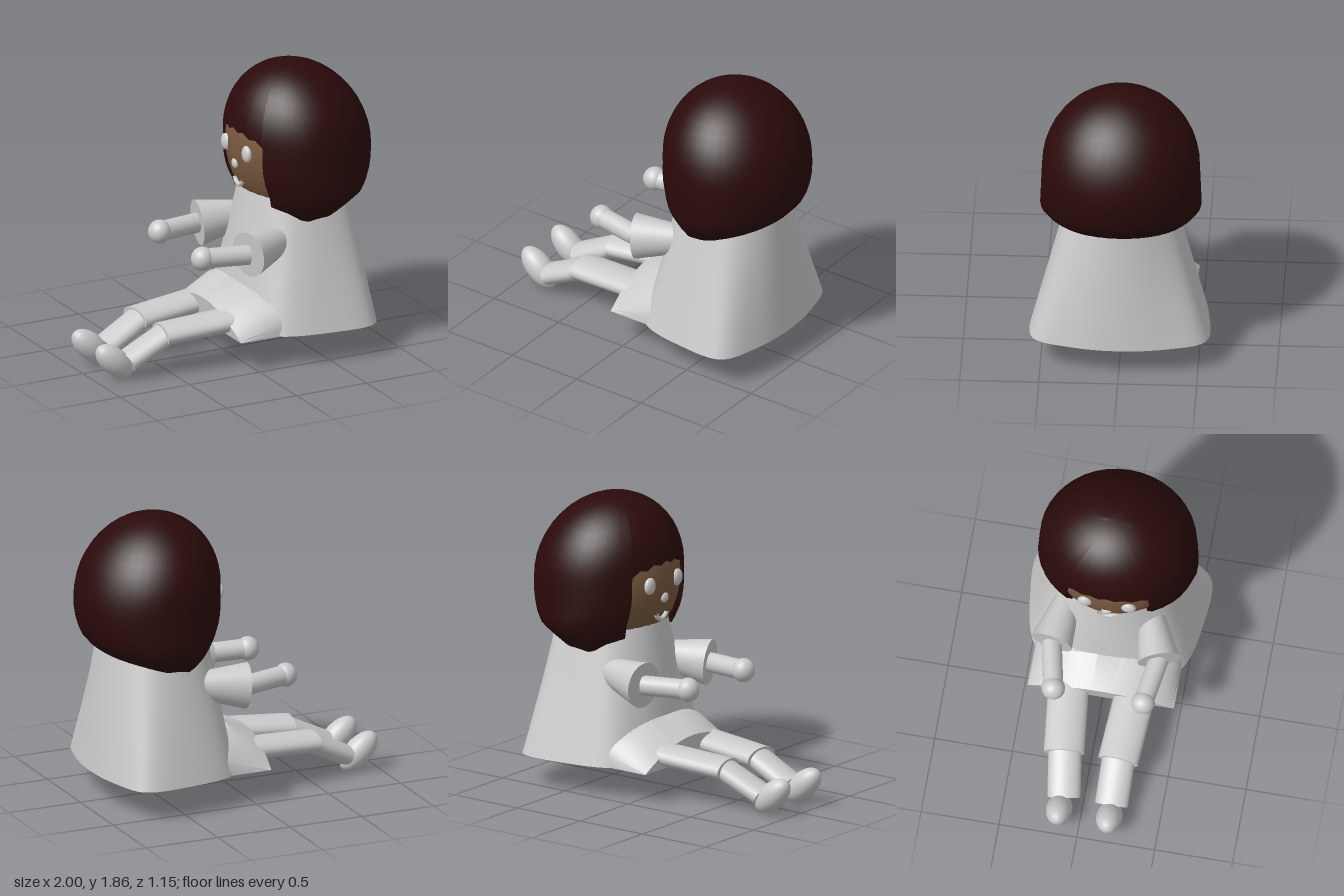
import * as THREE from 'three';
import { toCreasedNormals } from 'three/addons/utils/BufferGeometryUtils.js';

const V = (x, y, z) => new THREE.Vector3(x, y, z);
const material = (color) => new THREE.MeshStandardMaterial({ color, side: THREE.DoubleSide });
const grey = material(0xcccccc);
const skin = material(0x7a5a40);
const hairColor = material(0x2b0a0a);

// Skin a surface over closed rings of points, optionally closing both ends
function loft(rings, caps, crease) {
  const n = rings[0].length, pos = [], idx = [];
  rings.flat().forEach((p) => pos.push(p.x, p.y, p.z));
  for (let i = 0; i < rings.length - 1; i++) {
    for (let j = 0; j < n; j++) {
      const a = i * n + j, b = i * n + (j + 1) % n;
      idx.push(a, b, b + n, a, b + n, a + n);
    }
  }
  if (caps) {
    [0, rings.length - 1].forEach((r) => {
      const c = V(0, 0, 0);
      rings[r].forEach((p) => c.addScaledVector(p, 1 / n));
      const k = pos.length / 3;
      pos.push(c.x, c.y, c.z);
      for (let j = 0; j < n; j++) {
        const a = r * n + j, b = r * n + (j + 1) % n;
        if (r === 0) idx.push(k, b, a);
        else idx.push(k, a, b);
      }
    });
  }
  const g = new THREE.BufferGeometry();
  g.setAttribute('position', new THREE.Float32BufferAttribute(pos, 3));
  g.setIndex(idx);
  return toCreasedNormals(g, crease);
}

// Dress: rounded four-sided hem that blends into an oval neck
function dressGeometry() {
  const half = [[0.9, 0.3], [0.8, 0.545], [0.5, 0.56], [0.15, 0.465], [0.05, 0.25]];
  const hem = new THREE.CatmullRomCurve3([
    V(0.935, 0, 0), ...half.map(([x, z]) => V(x, 0, -z)),
    V(0.03, 0, 0), ...half.slice().reverse().map(([x, z]) => V(x, 0, z)),
  ], true).getPoints(72).slice(0, 72);
  const rings = [0, 0.33, 0.67, 1].map((t) => hem.map((p, i) => {
    const a = (i / 72) * Math.PI * 2;
    const neck = V(0.505 + 0.352 * Math.cos(a), 0, -0.342 * Math.sin(a));
    return p.clone().lerp(neck, t).setY(0.2 + 0.85 * t);
  }));
  return loft(rings, true, 0.7);
}

// Lap: flat underside with an arched top, fuller towards the waist
function lapGeometry() {
  const ring = ([xBottom, xTop, h, p, q]) => {
    const pts = [];
    for (let i = 0; i <= 28; i++) {
      const t = Math.cos((i / 28) * Math.PI);
      const k = Math.max(0, 1 - Math.abs(t) ** p) ** (1 / q);
      pts.push(V(xBottom + (xTop - xBottom) * k, 0.2 + h * k, 0.47 * t));
    }
    for (let i = 1; i < 10; i++) pts.push(V(xBottom, 0.2, -0.47 + 0.094 * i));
    return pts;
  };
  return loft([
    [0.28, 0.24, 0.24, 4, 3], [0.08, 0.07, 0.265, 3, 1.6], [-0.115, -0.14, 0.165, 2, 1],
  ].map(ring), true, 0.6);
}

// Hair: bob with a fringe, left open over the face, with an inward rolled hem
function hairGeometry() {
  const face = 0.56, rows = 18, cols = [];
  for (let i = 0; i <= 10; i++) {
    const t = i / 5 - 1;
    cols.push([t * face, 1.46 - 0.05 * t * t + (i % 2 ? 0.012 : -0.008)]);
  }
  for (let i = 0; i <= 34; i++) {
    const u = face + (i / 34) * 2 * (Math.PI - face);
    const w = Math.min(u, 2 * Math.PI - u);
    cols.push([u, 0.9 + 0.15 * Math.max(0, 1.2 - w) + 0.035 * Math.max(0, w - 1.2) + 0.008 * Math.sin(w * 9)]);
  }
  const point = (u, y, k) => {
    const s = (y - 1.35) / 0.505;
    const round = Math.sqrt(Math.max(0, 1 - s * s));
    let rz = 0.5 * round;
    if (y < 1.35) rz = y > 1.06 ? 0.5 + 0.012 * (1.35 - y) / 0.29 : 0.39 + 0.122 * (y - 0.9) / 0.16;
    const cx = 0.535 - 0.05 * Math.max(0, s) - 0.06 * Math.max(0, -s - 0.6) / 0.3;
    const rx = 0.457 + 0.05 * Math.max(0, -s);
    return V(cx - rx * round * k * Math.cos(u), y, rz * k * Math.sin(u));
  };
  const rings = [cols.map(([u, low]) => point(u, low + 0.02, 0.86))];
  for (let r = rows; r >= 0; r--) {
    rings.push(cols.map(([u, low]) => {
      const end = Math.acos((low - 1.35) / 0.505);
      return point(u, 1.35 + 0.505 * Math.cos((end * r) / rows), 1);
    }));
  }
  return loft(rings, false, 0.9);
}

export function createModel() {
  const model = new THREE.Group();
  const add = (name, geometry, mat = grey, parent = model) => {
    const mesh = new THREE.Mesh(geometry, mat);
    mesh.name = name;
    parent.add(mesh);
    return mesh;
  };
  const ball = (name, p, r, mat, parent) => {
    const m = add(name, new THREE.SphereGeometry(1, 32, 20), mat, parent);
    m.position.copy(p);
    m.scale.copy(r);
    return m;
  };
  // Tapered limb from a to b, widened sideways by a factor
  const limb = (name, a, b, ra, rb, widen, parent) => {
    const dir = b.clone().sub(a);
    const m = add(name, new THREE.CylinderGeometry(rb, ra, dir.length(), 28), grey, parent);
    dir.normalize();
    const side = dir.clone().cross(V(0, 1, 0)).normalize();
    m.quaternion.setFromRotationMatrix(
      new THREE.Matrix4().makeBasis(dir.clone().cross(side), dir, side));
    m.position.copy(a).add(b).multiplyScalar(0.5);
    m.scale.z = widen;
  };

  add('dress', dressGeometry());
  add('lap', lapGeometry());

  // Head and face
  ball('head', V(0.5, 1.33, 0), V(0.42, 0.5, 0.44), skin);
  add('hair', hairGeometry(), hairColor);
  for (const s of [-1, 1]) ball('eye', V(0.1, 1.33, s * 0.14), V(0.026, 0.055, 0.048), grey);
  ball('nose', V(0.092, 1.23, 0), V(0.02, 0.034, 0.034), grey);
  const mouth = add('mouth', new THREE.TorusGeometry(0.055, 0.015, 10, 20, Math.PI * 0.8));
  mouth.rotation.set(0, Math.PI / 2, Math.PI * 1.1, 'YXZ');
  mouth.position.set(0.118, 1.14, 0);

  // Arms: [name, shoulder inside the dress, cuff, hand]
  for (const [name, shoulder, cuff, hand] of [
    ['armBack', V(0.32, 0.77, -0.28), V(0, 0.74, -0.335), V(-0.305, 0.75, -0.272)],
    ['armFront', V(0.32, 0.77, 0.242), V(0, 0.74, 0.352), V(-0.305, 0.75, 0.305)],
  ]) {
    const arm = new THREE.Group();
    arm.name = name;
    model.add(arm);
    limb('sleeve', shoulder, cuff, 0.085, 0.15, 0.9, arm);
    limb('forearm', cuff, hand, 0.064, 0.064, 1, arm);
    ball('hand', hand, V(0.073, 0.077, 0.075), grey, arm);
  }

  // Legs: z positions at hip, knee, ankle and foot
  for (const [name, hip, knee, ankle, foot] of [
    ['legBack', -0.225, -0.162, -0.12, -0.135],
    ['legFront', 0.225, 0.185, 0.185, 0.187],
  ]) {
    const leg = new THREE.Group();
    leg.name = name;
    model.add(leg);
    limb('thigh', V(0.05, 0.285, hip), V(-0.54, 0.243, knee), 0.068, 0.068, 1.9, leg);
    limb('shin', V(-0.5, 0.245, knee), V(-0.785, 0.105, ankle), 0.066, 0.066, 1.6, leg);
    ball('foot', V(-0.875, 0.12, foot), V(0.155, 0.085, 0.083), grey, leg).rotation.z = -0.75;
  }
  return model;
}
